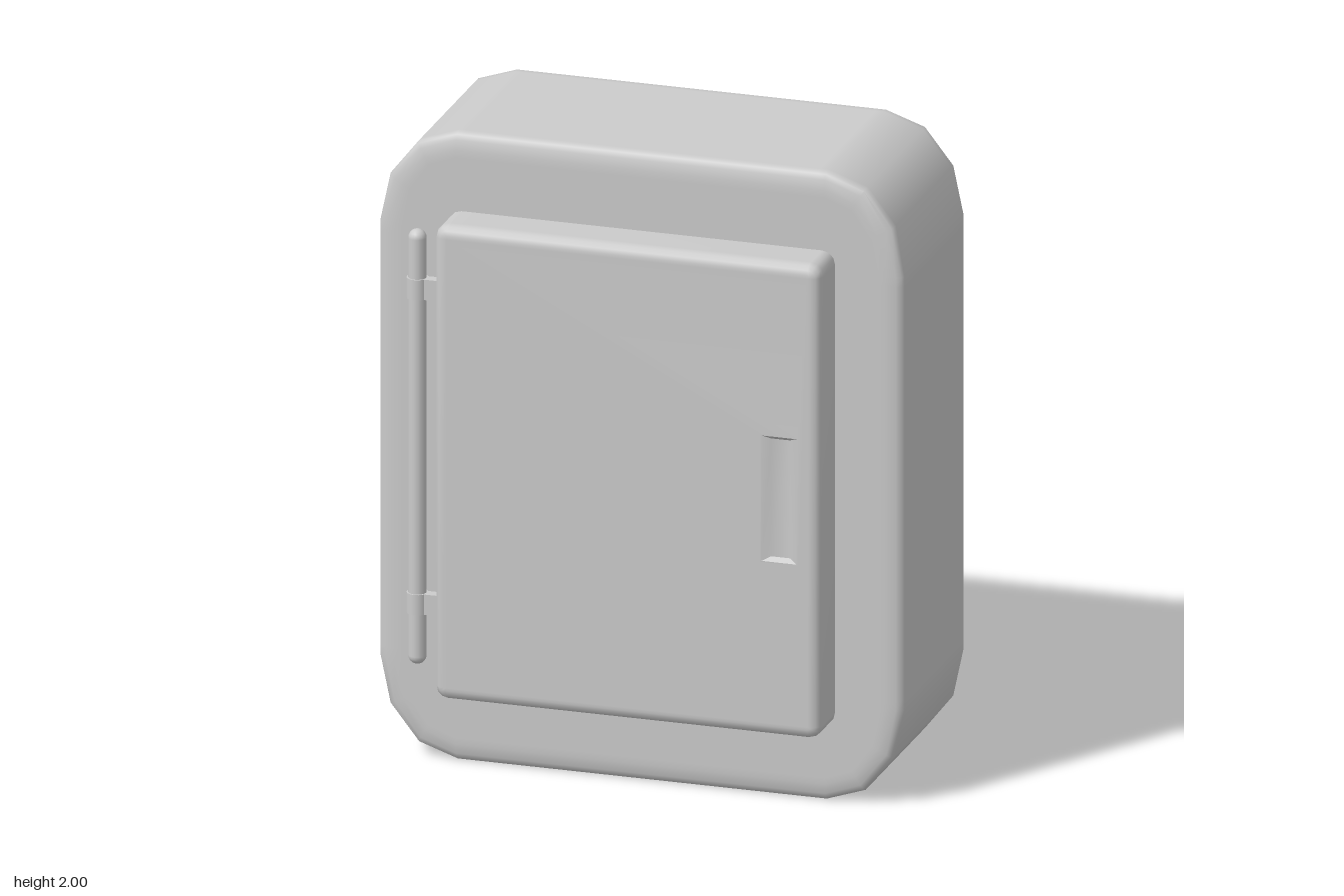
import * as THREE from 'three';
import { toCreasedNormals } from 'three/addons/utils/BufferGeometryUtils.js';

const grey = new THREE.MeshStandardMaterial({ color: 0xcccccc });

function add(parent, name, geometry, x = 0, y = 0, z = 0) {
  const mesh = new THREE.Mesh(geometry, grey);
  mesh.name = name;
  mesh.position.set(x, y, z);
  parent.add(mesh);
}

// Rounded rectangle ring: four elliptic corners centred at x0 +- cx, y0 +- cy.
// Each corner has an extra point on either side that keeps the straights flat.
function ring(x0, y0, cx, cy, rx, ry, z) {
  const points = [];
  for (let k = 0; k < 4; k++) {
    const sx = k === 0 || k === 3 ? 1 : -1;
    const sy = k < 2 ? 1 : -1;
    for (let s = -1; s <= 4; s++) {
      const t = k * Math.PI / 2 + THREE.MathUtils.clamp(s, 0, 3) * Math.PI / 6;
      const shift = s < 0 ? -0.1 : s > 3 ? 0.1 : 0;
      points.push(new THREE.Vector3(
        x0 + sx * cx + rx * (Math.cos(t) - shift * Math.sin(t)),
        y0 + sy * cy + ry * (Math.sin(t) + shift * Math.cos(t)),
        z));
    }
  }
  return points;
}

// Skin consecutive rings, leaving out triangles collapsed at sharp corners
function loft(rings) {
  const positions = [];
  const triangle = (a, b, c) => {
    if (new THREE.Triangle(a, b, c).getArea() > 1e-7) {
      positions.push(...a.toArray(), ...b.toArray(), ...c.toArray());
    }
  };
  for (let j = 0; j < rings.length - 1; j++) {
    const p = rings[j], q = rings[j + 1];
    for (let i = 0; i < p.length; i++) {
      const n = (i + 1) % p.length;
      triangle(p[i], q[i], q[n]);
      triangle(p[i], q[n], p[n]);
    }
  }
  const geometry = new THREE.BufferGeometry();
  geometry.setAttribute('position', new THREE.Float32BufferAttribute(positions, 3));
  return toCreasedNormals(geometry, 0.75);
}

// Hollow cabinet, open at the back, with a rectangular doorway in front
function housingGeometry() {
  const wall = ([inset, z]) => ring(0, 1, 0.582, 0.69, 0.245 - inset, 0.31 - inset, z);
  const doorway = z => ring(0.005, 1, 0.597, 0.738, 0, 0, z);
  const profile = [
    [0.075, 0.237], [0.053, 0.237], [0.022, 0.232], [0.006, 0.225], [0, 0.214], [0, 0.195],
    [0, -0.345], [0, -0.364], [0.006, -0.375], [0.022, -0.382], [0.045, -0.386],
    [0.053, -0.382], [0.056, -0.372], [0.056, -0.355],
    [0.056, 0.145], [0.056, 0.157], [0.062, 0.17], [0.075, 0.177], [0.09, 0.18], [0.105, 0.18],
  ];
  return loft([doorway(0.18), doorway(0.237), ...profile.map(wall), doorway(0.18)]);
}

// Door slab with rounded front edges and a shallow, soft finger grip
function doorGeometry() {
  const front = 0.386, back = 0.237, bevel = 0.03;
  const grip = (w, h, z) => ring(0.486, 1, w, h, 0, 0, z);
  const slab = (inset, z) => ring(0.006, 1, 0.569, 0.715, 0.04 - inset, 0.04 - inset, z);
  const rings = [
    grip(0, 0, front - 0.016), grip(0.03, 0.188, front - 0.016), grip(0.055, 0.2, front),
    grip(0.06, 0.205, front), slab(0.04, front),
  ];
  for (let i = 0; i <= 3; i++) {
    const a = i * Math.PI / 6;
    rings.push(slab(bevel * (1 - Math.sin(a)), front - bevel * (1 - Math.cos(a))));
  }
  rings.push(slab(0, front - bevel - 0.01), slab(0, back), ring(0.006, 1, 0, 0, 0, 0, back));
  return loft(rings);
}

export function createModel() {
  const model = new THREE.Group();
  model.name = 'wallCabinet';
  add(model, 'housing', housingGeometry());
  add(model, 'door', doorGeometry());

  // Hinge rod with rounded ends, held by two clips
  const hinge = new THREE.Group();
  hinge.name = 'hinge';
  hinge.position.set(-0.693, 0, 0.266);
  model.add(hinge);
  add(hinge, 'hingeRod', new THREE.CapsuleGeometry(0.028, 1.33, 5, 16), 0, 1.002, 0);
  for (const y of [0.505, 1.509]) {
    add(hinge, 'hingeCollar', new THREE.CylinderGeometry(0.033, 0.033, 0.065, 16), 0, y, 0);
    add(hinge, 'hingeTab', new THREE.BoxGeometry(0.075, 0.065, 0.034), 0.0375, y, 0.002);
  }
  return model;
}
